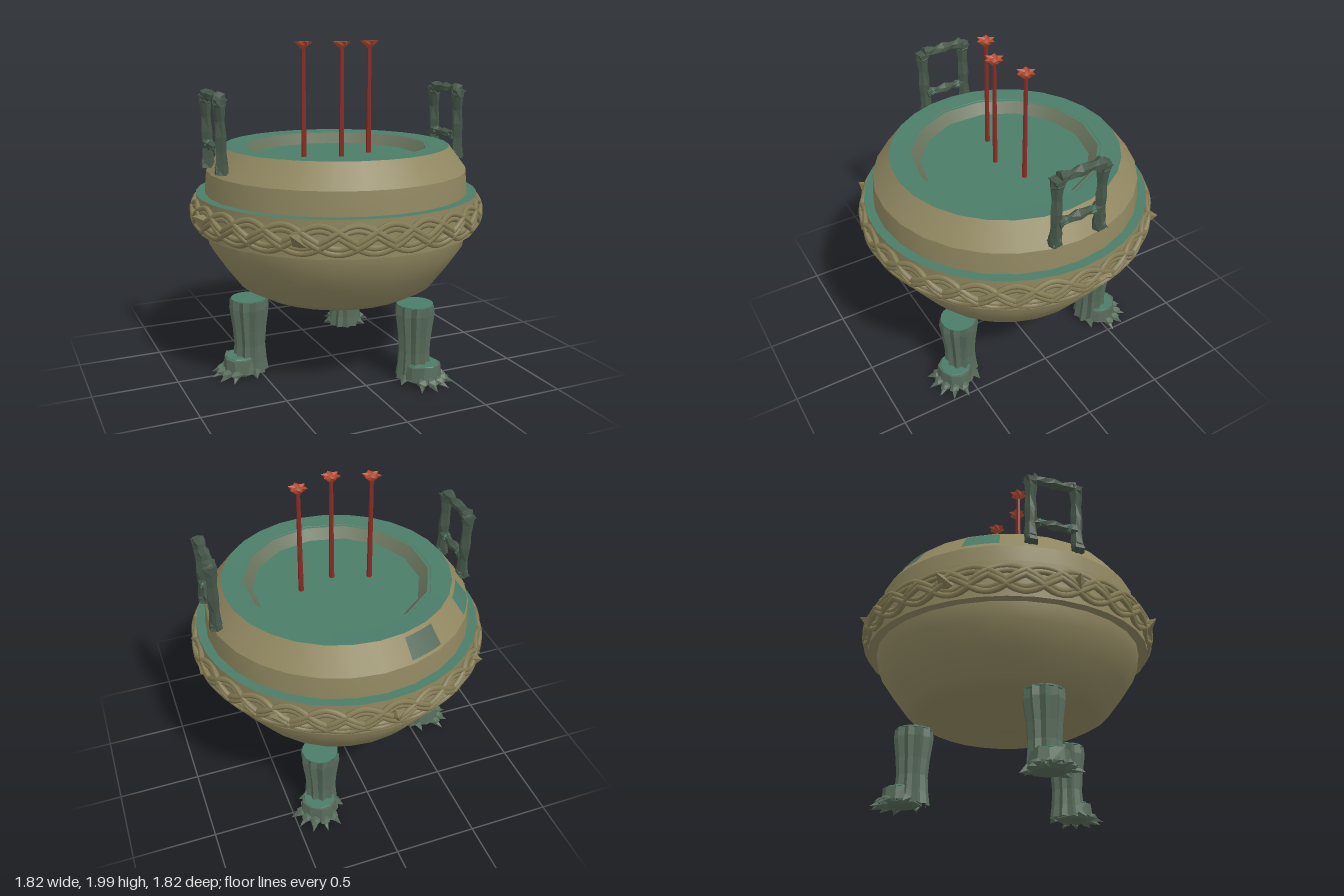
import * as THREE from 'three';

const mat = (name, color, side = THREE.FrontSide) => {
  const m = new THREE.MeshStandardMaterial({ color, side });
  m.name = name;
  return m;
};

// Faceted copy of a geometry
function facet(geo) {
  const g = geo.index ? geo.toNonIndexed() : geo;
  g.computeVertexNormals();
  return g;
}

// Moves each vertex a little by a rule on its position, so seams stay closed
function roughen(geo, amount) {
  const p = geo.attributes.position;
  const wave = (a, b, c) => Math.sin(a * 57.3 + b * 91.7 + c * 73.1);
  for (let i = 0; i < p.count; i++) {
    const x = +p.getX(i).toFixed(4), y = +p.getY(i).toFixed(4), z = +p.getZ(i).toFixed(4);
    p.setXYZ(i, x + amount * wave(x, y, z), y + amount * wave(y, z, x), z + amount * wave(z, x, y));
  }
  return facet(geo);
}

function add(parent, name, geo, material, x = 0, y = 0, z = 0) {
  const mesh = new THREE.Mesh(geo, material);
  mesh.name = name;
  mesh.position.set(x, y, z);
  parent.add(mesh);
  return mesh;
}

const lathe = (pts, sides, start = 0, len = Math.PI * 2) =>
  new THREE.LatheGeometry(pts.map(([r, y]) => new THREE.Vector2(r, y)), sides, start, len);

// Cone whose tip points along a direction
function spike(parent, name, material, pos, dir, radius, length, sides = 4) {
  const m = add(parent, name, facet(new THREE.ConeGeometry(radius, length, sides)), material, ...pos);
  m.quaternion.setFromUnitVectors(new THREE.Vector3(0, 1, 0), new THREE.Vector3(...dir).normalize());
  return m;
}

export function createModel() {
  const bronze = mat('bronze', 0x918861);
  const rope = mat('rope bronze', 0x857c55);
  const patina = mat('patina', 0x4b7d69);
  const wall = mat('inner wall', 0x66715a);
  const legGreen = mat('leg green', 0x576b5a);
  const handleGreen = mat('handle green', 0x465749);
  const stickRed = mat('stick red', 0x8a2c25);
  const emberRed = mat('ember red', 0xb54c32, THREE.DoubleSide);

  const model = new THREE.Group();
  model.name = 'incenseBurner';
  const core = new THREE.Group();
  core.name = 'burner';
  core.position.set(0.02, 0, 0.02);
  model.add(core);

  // Bowl
  const bowl = [[0, 0.44], [0.5, 0.5], [0.61, 0.56], [0.7, 0.68], [0.78, 0.8], [0.8, 0.92], [0.8, 1.08], [0.785, 1.25]];
  add(core, 'bowl', lathe(bowl, 28), bronze);
  add(core, 'shoulder', lathe([[0.785, 1.25], [0.68, 1.39]], 28), bronze);
  add(core, 'rim', lathe([[0.68, 1.39], [0.57, 1.385]], 28), patina);
  add(core, 'innerWall', lathe([[0.57, 1.385], [0.5, 1.32]], 14), wall);
  add(core, 'innerRim', lathe([[0.6, 1.383], [0.55, 1.383]], 14), patina);
  add(core, 'ashFloor', lathe([[0.505, 1.32], [0, 1.32]], 14), patina);

  // Worn patches on the back of the shoulder
  const patch = [[0.776, 1.27], [0.697, 1.375]];
  for (const [deg, m] of [[-121, patina], [-160, legGreen]]) {
    const geo = lathe(patch, 4, THREE.MathUtils.degToRad(deg - 8), THREE.MathUtils.degToRad(16));
    add(core, 'wornPatch', geo, m);
  }

  // Band around the belly
  add(core, 'bandUnderside', lathe([[0.78, 0.9], [0.85, 0.9]], 36), bronze);
  add(core, 'band', lathe([[0.85, 0.9], [0.85, 1.115]], 36), bronze);
  add(core, 'bandTop', lathe([[0.85, 1.115], [0.78, 1.115]], 36), patina);

  // Woven strands on the band
  const turns = 9;
  for (let s = 0; s < 6; s++) {
    const pts = [];
    for (let i = 0; i < 108; i++) {
      const a = (i / 108) * Math.PI * 2;
      const w = turns * a + Math.floor(s / 2) * (Math.PI * 2 / 3);
      const r = 0.862 + 0.012 * Math.cos(2 * w);
      const y = 1.005 + 0.062 * Math.sin(w) + (s % 2 ? 0.014 : -0.014);
      pts.push(new THREE.Vector3(r * Math.sin(a), y, r * Math.cos(a)));
    }
    add(core, 'wovenStrand', new THREE.TubeGeometry(new THREE.CatmullRomCurve3(pts, true), 216, 0.017, 6, true), rope);
  }

  // Thorns on the band
  for (const deg of [-48, -92, -137, 174, 128, -4]) {
    const a = THREE.MathUtils.degToRad(deg), c = Math.cos(a), s = Math.sin(a);
    const flat = deg === -4;
    const r = flat ? 0.875 : 0.885;
    spike(core, 'thorn', rope, [r * c, 1.02, r * s],
      flat ? [-s, 0.2, c] : [c - 0.35 * s, 0.5, s + 0.35 * c], flat ? 0.025 : 0.06, flat ? 0.2 : 0.1);
  }

  // Three fluted legs with clawed feet
  for (const angle of [Math.PI, Math.PI / 3, -Math.PI / 3]) {
    const leg = new THREE.Group();
    leg.name = 'leg';
    leg.rotation.y = angle;
    leg.position.set(0.575 * Math.cos(angle), 0, -0.575 * Math.sin(angle));
    core.add(leg);

    const column = lathe([[0.105, 0.03], [0.095, 0.1], [0.088, 0.2], [0.095, 0.3], [0.112, 0.43], [0.108, 0.488]], 20);
    const p = column.attributes.position;
    for (let i = 0; i < p.count; i++) {
      const flute = Math.floor(i / 6) % 2 ? 0.86 : 1.06;
      p.setX(i, p.getX(i) * flute);
      p.setZ(i, p.getZ(i) * flute);
    }
    add(leg, 'flutedColumn', facet(column), legGreen);
    add(leg, 'legTop', facet(new THREE.CylinderGeometry(0.108, 0.108, 0.008, 20)), patina, 0, 0.486);

    add(leg, 'footBlock', roughen(new THREE.CylinderGeometry(0.1, 0.115, 0.09, 10), 0.008), legGreen, 0.06, 0.083);
    add(leg, 'footTop', facet(new THREE.CylinderGeometry(0.092, 0.096, 0.006, 10)), patina, 0.06, 0.132);
    add(leg, 'sole', facet(new THREE.CylinderGeometry(0.12, 0.09, 0.02, 10)), legGreen, 0.05, 0.035);
    for (let i = -2; i <= 2; i++) {
      const t = i * 0.52, c = Math.cos(t), s = Math.sin(t);
      const toe = add(leg, 'toe', roughen(new THREE.IcosahedronGeometry(0.034, 0), 0.006), legGreen,
        0.06 + 0.115 * c, 0.045, 0.115 * s);
      toe.scale.set(1.2, 0.8, 1);
      spike(leg, 'claw', legGreen, [0.06 + 0.15 * c, 0.026, 0.15 * s], [c, -0.35, s], 0.024, 0.07);
    }
    for (const side of [-1, 1])
      spike(leg, 'sideClaw', legGreen, [0, 0.035, side * 0.12], [0.2, -0.5, side], 0.03, 0.06);
  }

  // Two gnarled handle frames
  for (const side of [-1, 1]) {
    const handle = new THREE.Group();
    handle.name = side > 0 ? 'leftHandle' : 'rightHandle';
    handle.position.set(0.02 + side * 0.765, 0, 0.025);
    model.add(handle);
    const bone = [[0, -0.5], [0.042, -0.5], [0.036, -0.38], [0.028, -0.2], [0.035, 0], [0.027, 0.2], [0.036, 0.38], [0.042, 0.5], [0, 0.5]];
    const bar = (name, len, y, z, across, thick) => {
      const geo = lathe(bone.map(([r, h]) => [r * thick, h * len]), 6);
      const m = add(handle, name, roughen(geo, 0.005), handleGreen, 0, y, z);
      if (across) m.rotation.x = Math.PI / 2;
    };
    for (const z of [-0.14, 0.14]) {
      bar('post', 0.42, 1.49, z, false, 1);
      for (const [y, up] of [[1.67, 1], [1.31, -1]]) {
        add(handle, 'knot', roughen(new THREE.IcosahedronGeometry(0.043, 0), 0.006), handleGreen, 0, y, z);
        for (const x of [-1, 1])
          spike(handle, 'barb', handleGreen, [x * 0.024, y + up * 0.015, z + Math.sign(z) * 0.02],
            [x * 0.7, up * 0.5, Math.sign(z) * 0.7], 0.022, 0.05);
      }
    }
    bar('topBar', 0.26, 1.7, 0, true, 0.95);
    bar('lowerBar', 0.26, 1.415, 0, true, 0.85);
    for (const z of [-0.09, 0.09])
      add(handle, 'innerKnot', roughen(new THREE.IcosahedronGeometry(0.03, 0), 0.005), patina, 0, 1.415, z);
  }

  // Three incense sticks with star-shaped tips
  for (const [x, z] of [[-0.19, 0.02], [0.025, 0.09], [0.24, 0.02]]) {
    const stick = new THREE.Group();
    stick.name = 'incenseStick';
    stick.position.set(x, 0, z);
    model.add(stick);
    add(stick, 'stem', facet(new THREE.CylinderGeometry(0.012, 0.016, 0.65, 6)), stickRed, 0, 1.645);
    const star = lathe([[0.012, 1.955], [0.03, 1.975], [0.058, 1.998], [0.025, 1.985], [0, 2]], 12);
    const p = star.attributes.position;
    for (let i = 0; i < p.count; i++) {
      if (i % 5 === 2 && Math.floor(i / 5) % 2) {
        p.setX(i, p.getX(i) * 0.62);
        p.setZ(i, p.getZ(i) * 0.62);
      }
    }
    add(stick, 'emberTip', facet(star), emberRed);
  }

  return model;
}
